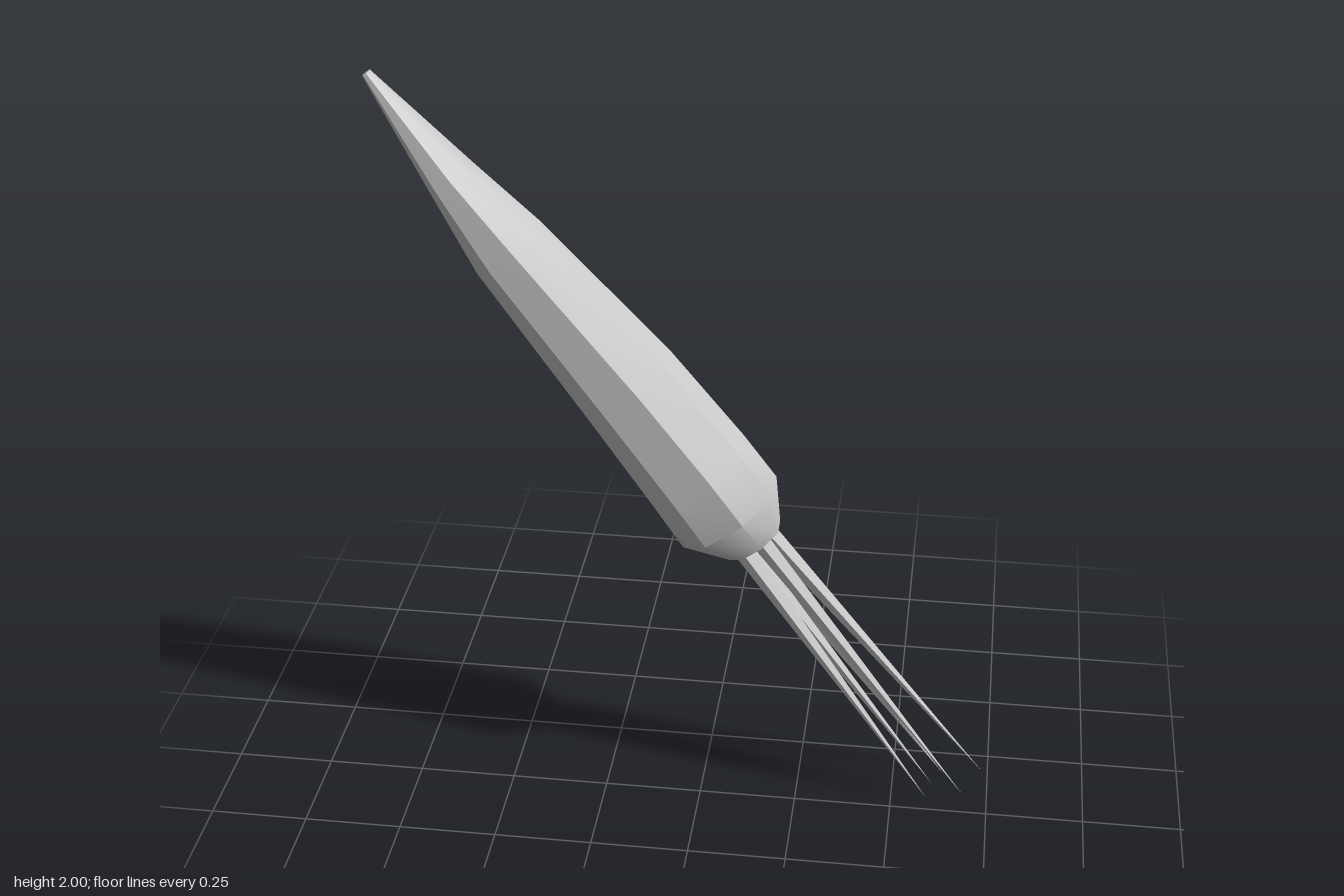
import * as THREE from 'three';
import { toCreasedNormals } from 'three/addons/utils/BufferGeometryUtils.js';

const TIP = new THREE.Vector3(-0.735, 1.995, 0);
const ALONG = new THREE.Vector3(0.591, -0.806, 0);
const ACROSS = new THREE.Vector3(0.806, 0.591, 0);

// Point on the slanted body: s along the axis from the tip, u across it, z depth
function place(s, u, z) {
  return TIP.clone().addScaledVector(ALONG, s).addScaledVector(ACROSS, u).setZ(z);
}

// Octagonal cross-sections: s, lowest u, highest u, lowest z, highest z
const SECTIONS = [
  [0, -0.008, 0.012, 0.093, 0.118],
  [0.3, -0.057, 0.047, 0.015, 0.153],
  [0.52, -0.097, 0.078, -0.027, 0.156],
  [0.97, -0.124, 0.113, -0.092, 0.142],
  [1.25, -0.142, 0.12, -0.113, 0.128],
  [1.39, -0.151, 0.119, -0.117, 0.124],
  [1.49, -0.087, 0.062, -0.066, 0.068],
];

function bodyGeometry(sides = 8) {
  const points = [];
  const index = [];
  const stretch = 1 / Math.cos(Math.PI / sides);
  for (const [s, u0, u1, z0, z1] of SECTIONS) {
    for (let k = 0; k < sides; k++) {
      const a = ((k + 0.5) / sides) * Math.PI * 2;
      const u = (u0 + u1) / 2 + ((u1 - u0) / 2) * Math.cos(a) * stretch;
      const z = (z0 + z1) / 2 + ((z1 - z0) / 2) * Math.sin(a) * stretch;
      points.push(place(s, u, z));
    }
  }
  const last = SECTIONS.length - 1;
  for (let i = 0; i < last; i++) {
    for (let k = 0; k < sides; k++) {
      const a = i * sides + k;
      const b = i * sides + ((k + 1) % sides);
      index.push(a, b, a + sides, b, b + sides, a + sides);
    }
  }
  // Close both ends
  for (let k = 1; k < sides - 1; k++) {
    index.push(0, k + 1, k);
    index.push(last * sides, last * sides + k, last * sides + k + 1);
  }
  const geometry = new THREE.BufferGeometry().setFromPoints(points);
  geometry.setIndex(index);
  return toCreasedNormals(geometry, 0.72);
}

export function createModel() {
  const group = new THREE.Group();
  const material = new THREE.MeshStandardMaterial({ color: 0xcccccc });

  const body = new THREE.Mesh(bodyGeometry(), material);
  body.name = 'body';
  group.add(body);

  // Long pointed tentacles: root u, root z, then the tip position
  const tentacles = [
    [-0.022, -0.035, 0.635, 0.0, -0.155],
    [0.024, -0.035, 0.735, 0.035, -0.135],
    [-0.028, 0.0, 0.605, 0.02, -0.085],
    [0.022, 0.022, 0.685, 0.04, -0.025],
    [-0.026, 0.03, 0.595, 0.025, -0.012],
  ];
  const up = new THREE.Vector3(0, 1, 0);
  tentacles.forEach(([u, z, ...end], i) => {
    const root = place(1.45, u - 0.012, z);
    const tip = new THREE.Vector3(...end);
    const axis = tip.clone().sub(root);
    const length = axis.length();
    const cone = toCreasedNormals(new THREE.ConeGeometry(0.026, length, 5), 0.8);
    const tentacle = new THREE.Mesh(cone, material);
    tentacle.name = `tentacle${i + 1}`;
    tentacle.position.copy(root).add(tip).multiplyScalar(0.5);
    tentacle.quaternion.setFromUnitVectors(up, axis.normalize());
    group.add(tentacle);
  });

  return group;
}
